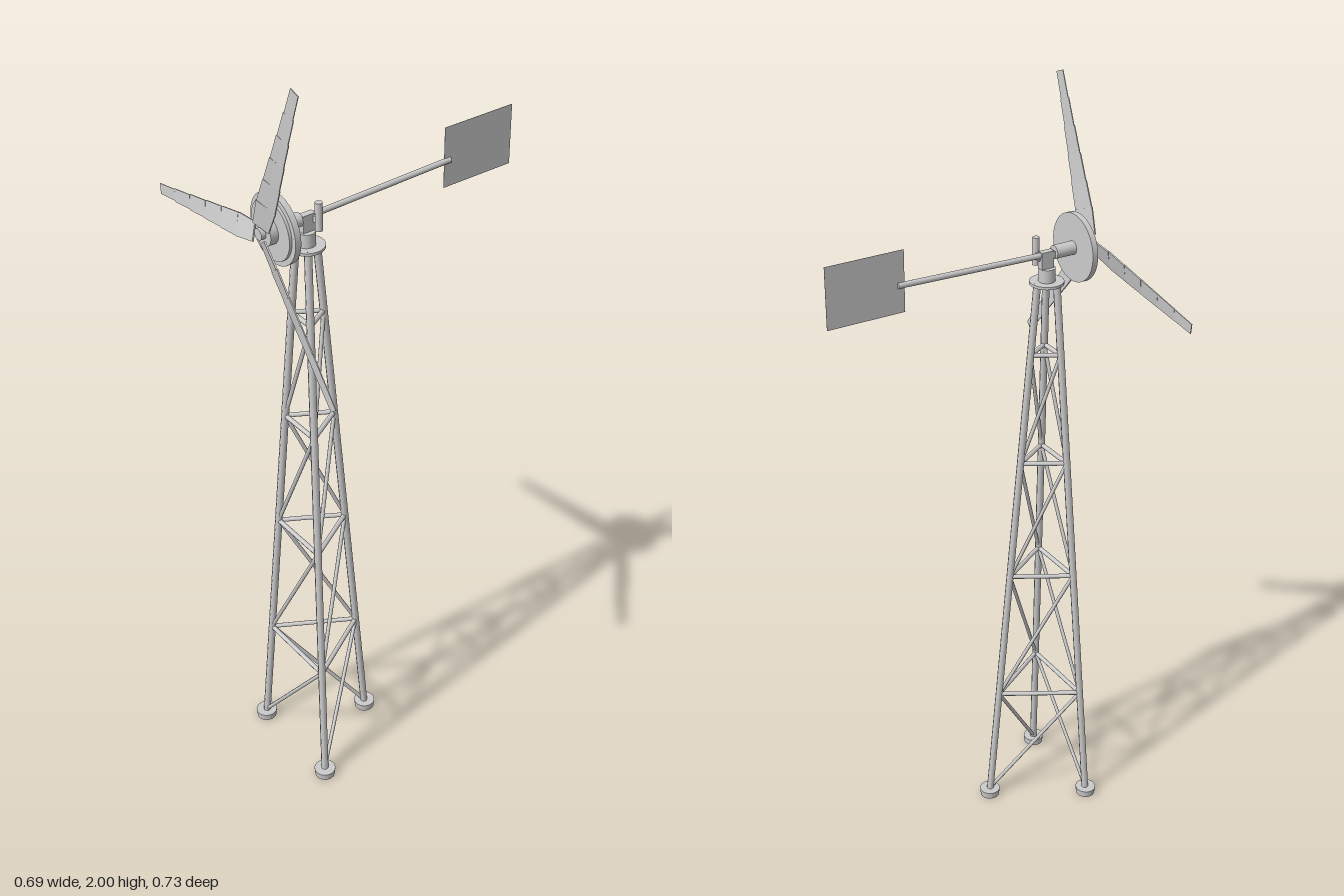
import * as THREE from 'three';

const MAT = new THREE.MeshStandardMaterial({ color: 0xcccccc, flatShading: true });
const SMOOTH = new THREE.MeshStandardMaterial({ color: 0xcccccc });
const AX = 0.074, AZ = 0.231; // tower axis
const HUB_Y = 1.61, TOP_Y = 1.54;
const { lerp, degToRad } = THREE.MathUtils;
const V = (x, y, z) => new THREE.Vector3(x, y, z);

function add(parent, name, geometry, x = 0, y = 0, z = 0, material = SMOOTH) {
  const mesh = new THREE.Mesh(geometry, material);
  mesh.name = name;
  mesh.position.set(x, y, z);
  parent.add(mesh);
  return mesh;
}

// Round bar between two points
function bar(parent, name, a, b, r, sides = 8) {
  const mesh = add(parent, name, new THREE.CylinderGeometry(r, r, a.distanceTo(b), sides));
  mesh.position.copy(a).add(b).multiplyScalar(0.5);
  mesh.quaternion.setFromUnitVectors(V(0, 1, 0), b.clone().sub(a).normalize());
}

// Point on one of the three legs at a given height
function legPoint(i, y) {
  const r = lerp(0.157, 0.027, y / TOP_Y);
  const a = -Math.PI / 2 + (i * Math.PI * 2) / 3;
  return V(AX + r * Math.cos(a), y, AZ + r * Math.sin(a));
}

function makeTower() {
  const tower = new THREE.Group();
  tower.name = 'tower';
  const levels = [0.02, 0.34, 0.715, 1.05, 1.35];
  for (let i = 0; i < 3; i++) {
    const j = (i + 1) % 3;
    const base = legPoint(i, 0);
    add(tower, 'foot', new THREE.CylinderGeometry(0.028, 0.026, 0.02, 20), base.x, 0.01, base.z, MAT);
    bar(tower, 'leg', legPoint(i, 0.01), legPoint(i, TOP_Y), 0.0095);
    // One rail and one diagonal per panel, spiralling round the faces
    for (let k = 1; k < levels.length; k++) {
      bar(tower, 'rail', legPoint(i, levels[k]), legPoint(j, levels[k]), 0.006);
      bar(tower, 'brace', legPoint(j, levels[k - 1]), legPoint(i, levels[k]), 0.005);
    }
  }
  return tower;
}

// Blade along +x, in flat steps that narrow and untwist towards the tip
function makeBlade() {
  const blade = new THREE.Group();
  blade.name = 'blade';
  const steps = 6, r0 = 0.02, r1 = 0.416;
  const length = (r1 - r0) / steps;
  for (let i = 0; i < steps; i++) {
    const t = i / (steps - 1);
    const chord = lerp(0.06, 0.029, t);
    const geo = new THREE.BoxGeometry(length, chord, lerp(0.004, 0.002, t));
    // Narrow the outer end of each step
    const p = geo.attributes.position;
    for (let k = 0; k < p.count; k++) {
      const inner = i === 0 ? 0.75 : 1;
      p.setY(k, p.getY(k) * (p.getX(k) > 0 ? 0.9 : inner));
    }
    const step = add(blade, 'bladeSection', geo, r0 + length * (i + 0.5), 0, 0, MAT);
    step.rotation.x = lerp(0.3, 0.06, t);
  }
  return blade;
}

function makeRotor() {
  const rotor = new THREE.Group();
  rotor.name = 'rotor';
  rotor.position.set(AX, HUB_Y, 0);
  // Discs and shafts along z: name, radius, back, front
  const discs = [
    ['driveShaft', 0.017, 0.25, 0.305],
    ['generatorDisc', 0.086, 0.305, 0.32],
    ['coverDisc', 0.073, 0.32, 0.327],
    ['hub', 0.032, 0.327, 0.347],
    ['hubCap', 0.014, 0.347, 0.359],
  ];
  for (const [name, r, back, front] of discs) {
    const geo = new THREE.CylinderGeometry(r, r, front - back, 32).rotateX(Math.PI / 2);
    add(rotor, name, geo, 0, 0, (back + front) / 2);
  }
  for (let i = 0; i < 3; i++) {
    const blade = makeBlade();
    blade.position.z = 0.355;
    blade.rotation.z = degToRad(69.2 + 120 * i);
    rotor.add(blade);
  }
  return rotor;
}

function makeHead() {
  const head = new THREE.Group();
  head.name = 'head';
  // Yaw bearing
  add(head, 'platform', new THREE.CylinderGeometry(0.043, 0.043, 0.007, 32), AX, 1.537, AZ);
  add(head, 'yawBearing', new THREE.CylinderGeometry(0.021, 0.021, 0.035, 24), AX, 1.557, AZ);
  add(head, 'yawPost', new THREE.BoxGeometry(0.017, 0.045, 0.034), AX, 1.595, 0.228, MAT);
  add(head, 'shaftBracket', new THREE.BoxGeometry(0.016, 0.016, 0.02), AX, 1.606, 0.249, MAT);
  // Tail hinge
  add(head, 'hingePin', new THREE.CylinderGeometry(0.009, 0.009, 0.07, 16), 0.096, 1.614, 0.212);
  add(head, 'hingeLink', new THREE.BoxGeometry(0.026, 0.016, 0.012), 0.085, 1.604, 0.212, MAT);
  // Tail
  bar(head, 'tailBoom', V(AX, 1.609, 0.21), V(AX, 1.619, -0.18), 0.0072, 12);
  add(head, 'tailVane', new THREE.BoxGeometry(0.0006, 0.155, 0.203), AX, 1.628, -0.2635, MAT);
  return head;
}

export function createModel() {
  const model = new THREE.Group();
  model.name = 'windTurbine';
  model.add(makeTower(), makeHead(), makeRotor());
  return model;
}
